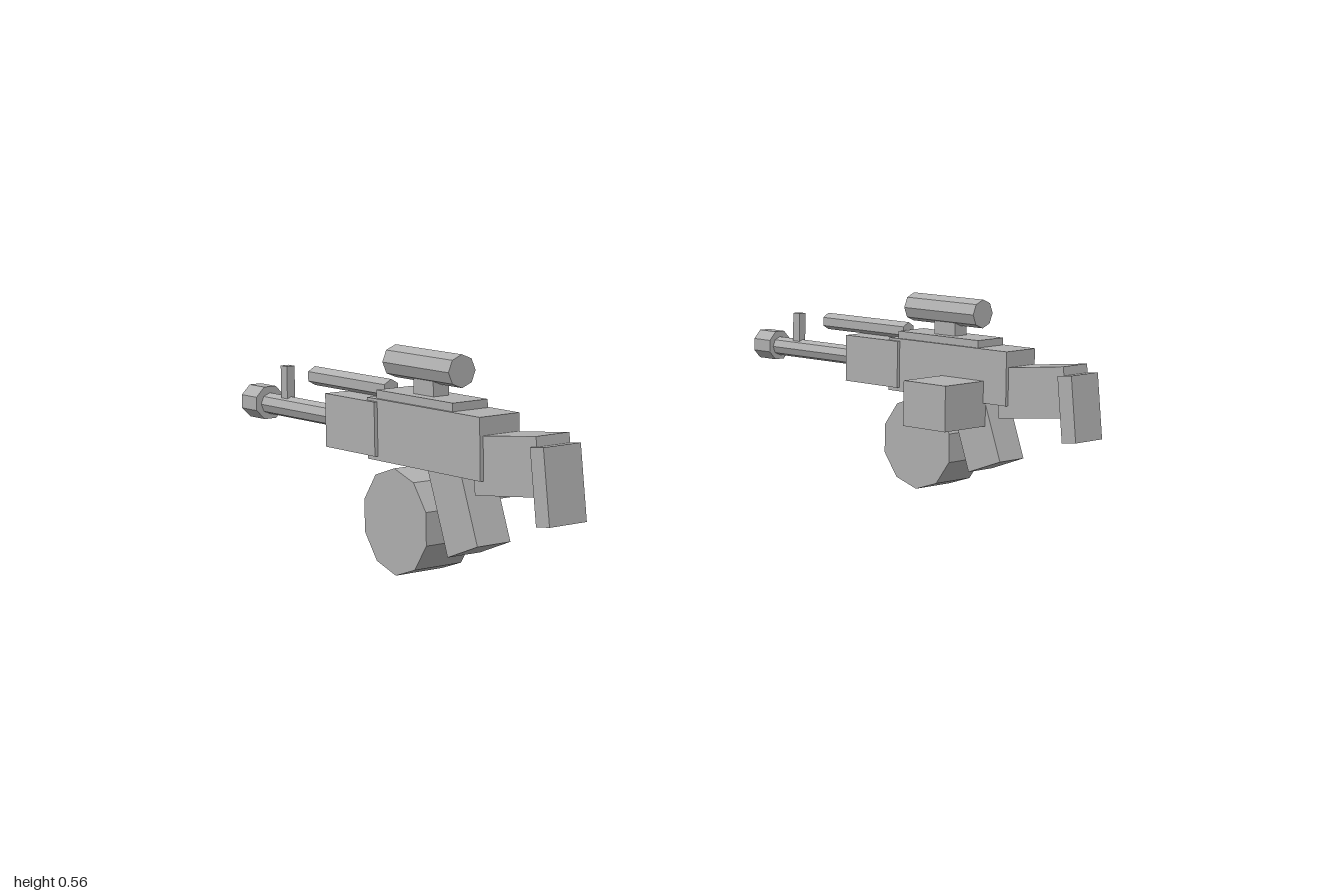
import * as THREE from 'three';

const metal = new THREE.MeshStandardMaterial({ color: 0xb0b0b0 });
metal.name = 'grey metal';

// Box at a centre, with an optional tilt about x
function box(name, size, pos, tilt = 0) {
  const mesh = new THREE.Mesh(new THREE.BoxGeometry(...size), metal);
  mesh.name = name;
  mesh.position.set(...pos);
  mesh.rotation.x = tilt;
  return mesh;
}

// Faceted rod along z between two z values; turn rotates its facets
function rod(name, radius, sides, y, z0, z1, turn = 0) {
  const geo = new THREE.CylinderGeometry(radius, radius, Math.abs(z1 - z0), sides).toNonIndexed();
  geo.rotateY(turn);
  geo.rotateX(Math.PI / 2);
  geo.computeVertexNormals();
  const mesh = new THREE.Mesh(geo, metal);
  mesh.name = name;
  mesh.position.set(0, y, (z0 + z1) / 2);
  return mesh;
}

// Ten-sided drum, axis along x, with a corner pointing up
function drum() {
  const geo = new THREE.CylinderGeometry(0.134, 0.134, 0.142, 10).toNonIndexed();
  geo.rotateX(Math.PI / 2);
  geo.rotateY(Math.PI / 2);
  geo.computeVertexNormals();
  const mesh = new THREE.Mesh(geo, metal);
  mesh.name = 'drumMagazine';
  mesh.position.set(0, 0.135, 0.07);
  return mesh;
}

// One blaster; inward is the x direction towards the model's middle
function createBlaster(inward) {
  const g = new THREE.Group();
  g.add(
    // body
    box('receiver', [0.12, 0.154, 0.455], [0, 0.354, 0.172]),
    box('topRail', [0.106, 0.03, 0.31], [0, 0.437, 0.131]),
    box('handguard', [0.139, 0.136, 0.21], [0, 0.356, -0.117]),
    // stock and grip
    box('stock', [0.1, 0.143, 0.25], [0, 0.323, 0.482], -0.11),
    box('buttPlate', [0.112, 0.186, 0.05], [0, 0.291, 0.618], -0.11),
    box('grip', [0.1, 0.22, 0.126], [0, 0.196, 0.276], -0.35),
    // barrel group
    rod('barrel', 0.028, 8, 0.354, -0.2, -0.58),
    rod('muzzle', 0.046, 8, 0.356, -0.577, -0.646, Math.PI / 8),
    rod('upperTube', 0.0245, 6, 0.4485, -0.035, -0.367),
    box('frontSight', [0.024, 0.09, 0.028], [0, 0.417, -0.492]),
    // scope
    box('scopeMount', [0.048, 0.05, 0.08], [0, 0.468, 0.131]),
    rod('scope', 0.041, 8, 0.521, 0.255, -0.014),
    // feed parts
    drum(),
    box('sideBox', [0.175, 0.13, 0.16], [inward * 0.1295, 0.275, 0.235])
  );
  return g;
}

export function createModel() {
  const model = new THREE.Group();
  model.name = 'blasterPair';
  for (const side of [1, -1]) {
    const blaster = createBlaster(-side);
    blaster.name = side > 0 ? 'leftBlaster' : 'rightBlaster';
    blaster.position.x = side * 0.929;
    model.add(blaster);
  }
  return model;
}
